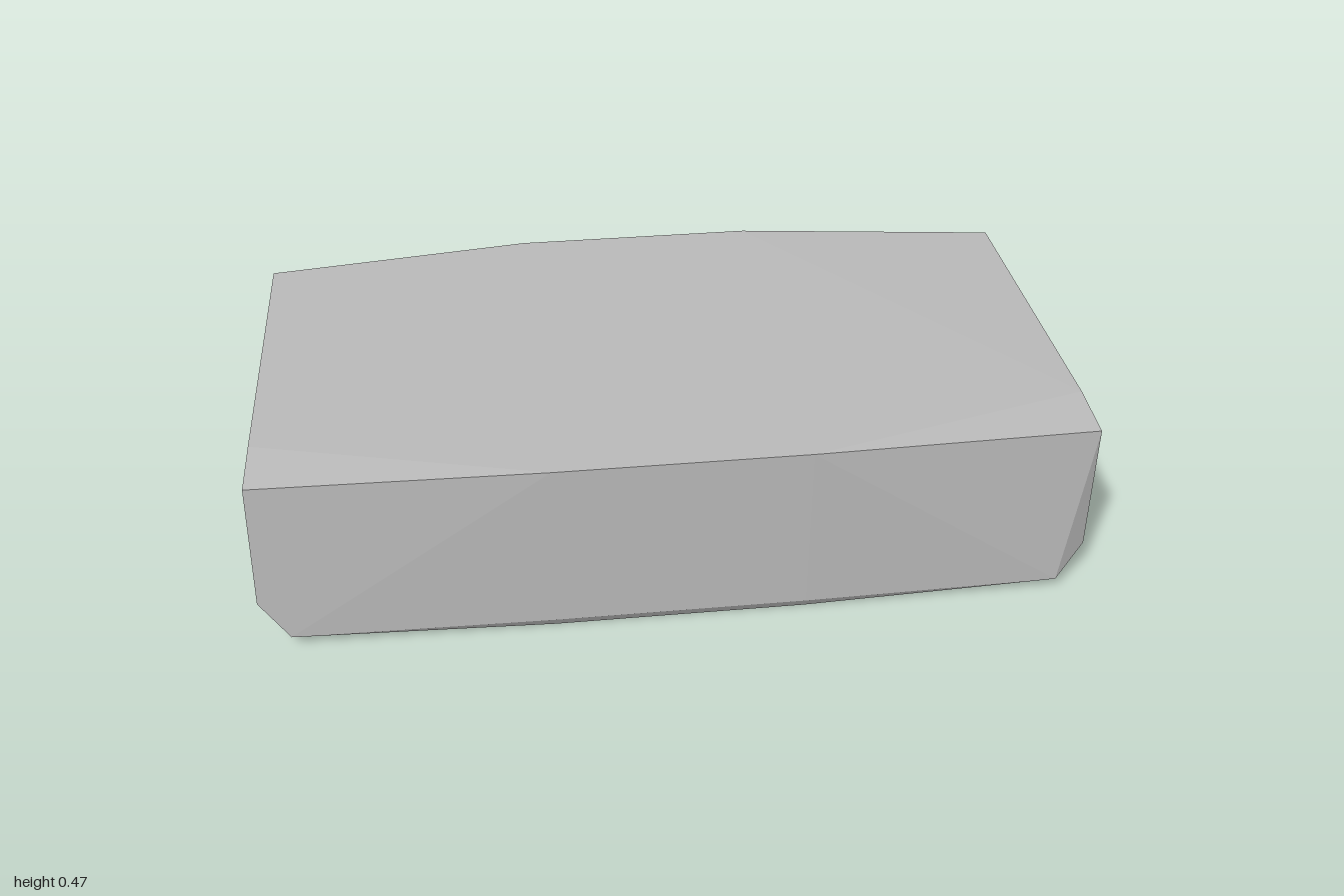
import * as THREE from 'three';
import { ConvexGeometry } from 'three/addons/geometries/ConvexGeometry.js';

export function createModel() {
  const group = new THREE.Group();
  group.name = 'facetedBlock';
  const grey = new THREE.MeshStandardMaterial({ color: 0xb8b8b8 });
  grey.name = 'stone grey';

  // Corner points shared by both halves, mirrored across x
  const half = [
    // top deck
    [0.30, 0.47, -0.26], [0.97, 0.455, -0.20], [0.98, 0.467, 0.60], [0.985, 0.45, 0.74], [0.30, 0.462, 0.77],
    // side walls
    [1.00, 0.20, -0.19], [1.00, 0.10, -0.18], [0.995, 0.10, 0.72],
    // sloping rear
    [0.30, 0.16, -0.78], [0.69, 0.07, -0.67], [0.66, 0.03, -0.64],
    // rounded lower edge
    [0.97, 0.055, -0.25], [0.97, 0.055, 0.45], [0.92, 0.03, 0.765], [0.30, 0.03, 0.775],
    // underside
    [0.30, 0.005, -0.60], [0.60, 0.008, -0.59], [0.88, 0.02, -0.46],
    [0.90, 0.008, 0.00], [0.88, 0.008, 0.74], [0.30, 0.00, 0.755],
  ];
  const points = [];
  for (const [x, y, z] of half) {
    points.push(new THREE.Vector3(x, y, z), new THREE.Vector3(-x, y, z));
  }
  // Rear corners, chipped differently on each side
  points.push(
    new THREE.Vector3(0.95, 0.07, -0.41),
    new THREE.Vector3(-0.91, 0.10, -0.46),
    new THREE.Vector3(-0.86, 0.07, -0.52),
  );

  const body = new THREE.Mesh(new ConvexGeometry(points), grey);
  body.name = 'body';
  group.add(body);
  return group;
}
